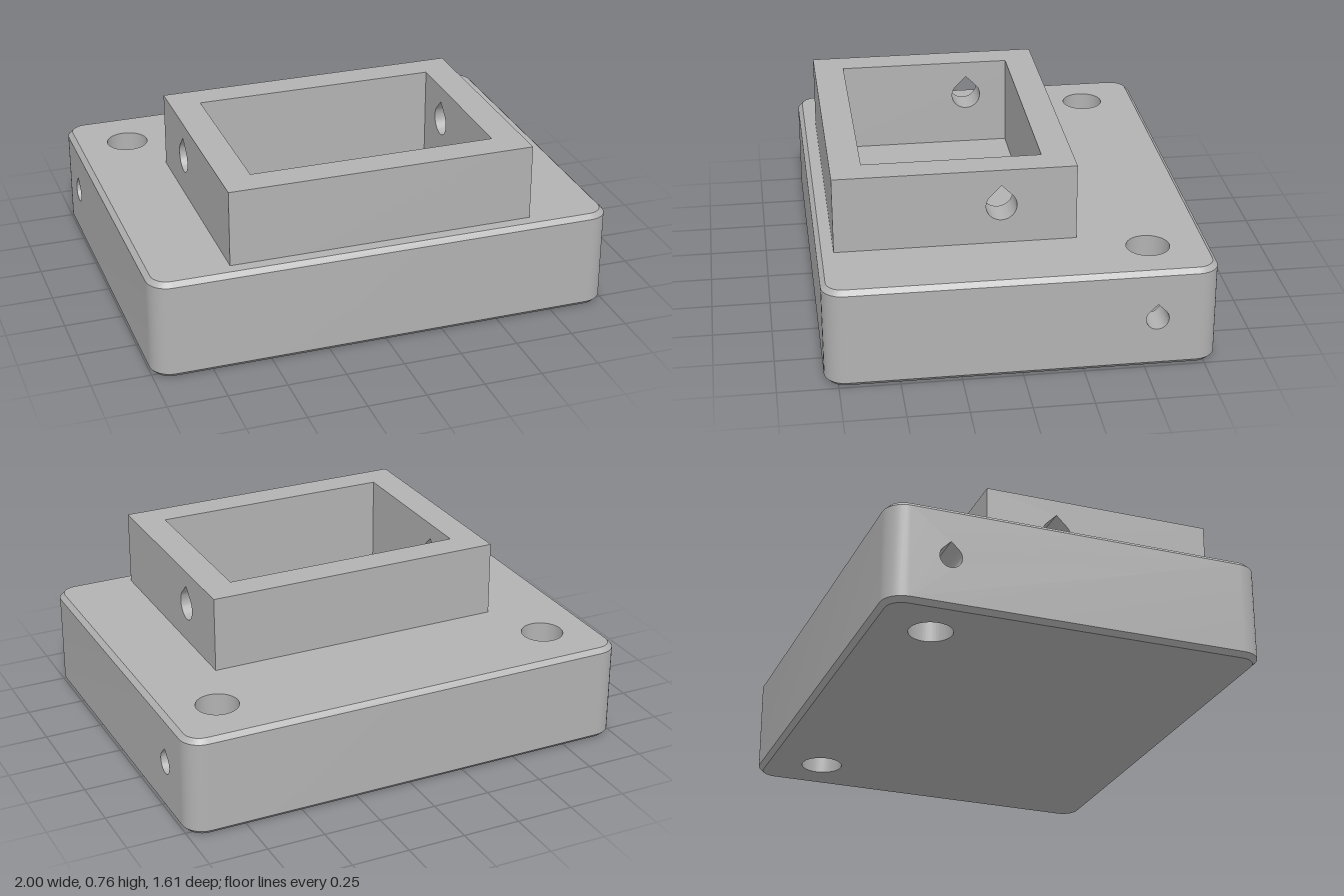
import * as THREE from 'three';
import { mergeGeometries, toCreasedNormals } from 'three/addons/utils/BufferGeometryUtils.js';

const W = 1, D = 0.805, H = 0.435, CORNER = 0.09, CHAMFER = 0.02; // base block
const BORE = { x: 0.765, z: -0.548, r: 0.09 };                     // vertical holes
const PORT = { y: 0.22, r: 0.047 };                                // side holes into the bores
const FRAME = { x: 0.655, back: -0.27, front: 0.735, top: 0.762, wall: 0.13, floor: 0.37 };
const WINDOW = { z: 0.043, y: 0.602, r: 0.064 };                   // holes through the frame

// Rounded rectangle, counter-clockwise from above; shape y is -z
function outline(inset, n = 8) {
  const pts = [], r = CORNER - inset;
  [[1, 1], [-1, 1], [-1, -1], [1, -1]].forEach(([sx, sy], c) => {
    for (let i = 0; i <= n; i++) {
      const a = (c + i / n) * Math.PI / 2;
      pts.push(new THREE.Vector2(sx * (W - CORNER) + r * Math.cos(a), sy * (D - CORNER) + r * Math.sin(a)));
    }
  });
  return pts;
}

function circle(cx, cy, r, n = 96) {
  return Array.from({ length: n }, (_, i) => {
    const a = i / n * Math.PI * 2;
    return new THREE.Vector2(cx + r * Math.cos(a), cy + r * Math.sin(a));
  });
}

// Round hole with a 45 degree pointed roof
function teardrop(cx, cy, r, n = 36) {
  const pts = [new THREE.Vector2(cx, cy + r * Math.SQRT2)];
  for (let i = 0; i <= n; i++) {
    const a = Math.PI * (0.75 + 1.5 * i / n);
    pts.push(new THREE.Vector2(cx + r * Math.cos(a), cy + r * Math.sin(a)));
  }
  return pts;
}

function rect(x0, y0, x1, y1) {
  return [[x0, y0], [x1, y0], [x1, y1], [x0, y1]].map(p => new THREE.Vector2(...p));
}

function shapeWith(points, holes = []) {
  const s = new THREE.Shape(points);
  s.holes = holes.map(h => new THREE.Path(h));
  return s;
}

// Closed band of quads between two rings of Vector3
function strip(a, b, skip = []) {
  const pos = [];
  a.forEach((p, i) => {
    if (skip.includes(i)) return;
    const j = (i + 1) % a.length;
    for (const v of [p, a[j], b[j], p, b[j], b[i]]) pos.push(v.x, v.y, v.z);
  });
  const g = new THREE.BufferGeometry();
  g.setAttribute('position', new THREE.Float32BufferAttribute(pos, 3));
  return g;
}

const lift = (pts, y) => pts.map((p, i) => new THREE.Vector3(p.x, typeof y === 'function' ? y(p, i) : y, -p.y));

function flat(points, holes) {
  const g = new THREE.ShapeGeometry(shapeWith(points, holes)).toNonIndexed();
  g.deleteAttribute('uv');
  g.deleteAttribute('normal');
  return g;
}

function join(parts) {
  return toCreasedNormals(mergeGeometries(parts), 0.5);
}

export function createModel() {
  const group = new THREE.Group();
  const grey = new THREE.MeshStandardMaterial({ color: 0xb2b2b2 });
  grey.name = 'grey';
  const add = (name, geometry) => {
    const m = new THREE.Mesh(geometry, grey);
    m.name = name;
    group.add(m);
    return m;
  };

  const ix = FRAME.x - FRAME.wall, iBack = FRAME.back + FRAME.wall, iFront = FRAME.front - FRAME.wall;
  const full = outline(0), small = outline(CHAMFER);
  const bores = [1, -1].map(s => circle(s * BORE.x, -BORE.z, BORE.r));

  // Base: chamfered shell with the two flat ends left open for the drilled panels
  const low = lift(full, CHAMFER), high = lift(full, H - CHAMFER);
  const q = full.length / 4;
  const base = [
    strip(lift(small, 0), low),
    strip(low, high, [2 * q - 1, 4 * q - 1]),
    strip(high, lift(small, H)),
    flat(small, [...bores, rect(-ix, -iFront, ix, -iBack)]).rotateX(-Math.PI / 2).translate(0, H, 0),
  ];
  // Underside, mirrored in z so that it faces down
  const flipZ = pts => pts.map(p => new THREE.Vector2(p.x, -p.y));
  base.push(flat(small, bores.map(flipZ)).rotateX(Math.PI / 2));
  // End panels with side holes
  for (const s of [1, -1]) {
    base.push(flat(rect(-(D - CORNER), CHAMFER, D - CORNER, H - CHAMFER),
      [teardrop(-s * BORE.z, PORT.y, PORT.r)]).rotateY(s * Math.PI / 2).translate(s * W, 0, 0));
  }
  add('base', join(base));

  // Bores, each opened on its outer side where the side hole enters
  [1, -1].forEach((s, k) => {
    const edge = roof => p => {
      const d = Math.abs(p.y + BORE.z), r = PORT.r;
      if (s * (p.x - s * BORE.x) < 0 || d >= r) return PORT.y;
      if (!roof) return PORT.y - Math.sqrt(r * r - d * d);
      return PORT.y + (d < r * Math.SQRT1_2 ? r * Math.SQRT2 - d : Math.sqrt(r * r - d * d));
    };
    const c = bores[k];
    add('mountingBore', join([
      strip(lift(c, H), lift(c, edge(true))),
      strip(lift(c, edge(false)), lift(c, 0)),
    ]));
    const drop = teardrop(0, PORT.y, PORT.r);
    const outer = drop.map(p => new THREE.Vector3(s * W, p.y, BORE.z - s * p.x));
    const inner = drop.map(p => new THREE.Vector3(
      s * (BORE.x + Math.sqrt(BORE.r ** 2 - p.x ** 2)), p.y, BORE.z - s * p.x));
    add('sideHole', join([strip(outer, inner)]));
  });

  // Frame ends, pierced by pointed holes
  for (const x of [-FRAME.x, ix]) {
    const g = new THREE.ExtrudeGeometry(
      shapeWith(rect(-FRAME.front, FRAME.floor, -FRAME.back, FRAME.top), [teardrop(-WINDOW.z, WINDOW.y, WINDOW.r)]),
      { depth: FRAME.wall, bevelEnabled: false });
    add('frameEnd', toCreasedNormals(g.rotateY(Math.PI / 2), 0.5)).position.x = x;
  }
  // Frame front and back walls
  const wallH = FRAME.top - FRAME.floor;
  for (const z of [FRAME.back + FRAME.wall / 2, FRAME.front - FRAME.wall / 2]) {
    add('frameWall', new THREE.BoxGeometry(2 * ix, wallH, FRAME.wall)).position.set(0, FRAME.floor + wallH / 2, z);
  }
  // Pocket floor, slightly sunk into the base
  add('pocketFloor', new THREE.PlaneGeometry(2 * ix, iFront - iBack).rotateX(-Math.PI / 2))
    .position.set(0, FRAME.floor, (iFront + iBack) / 2);

  return group;
}
